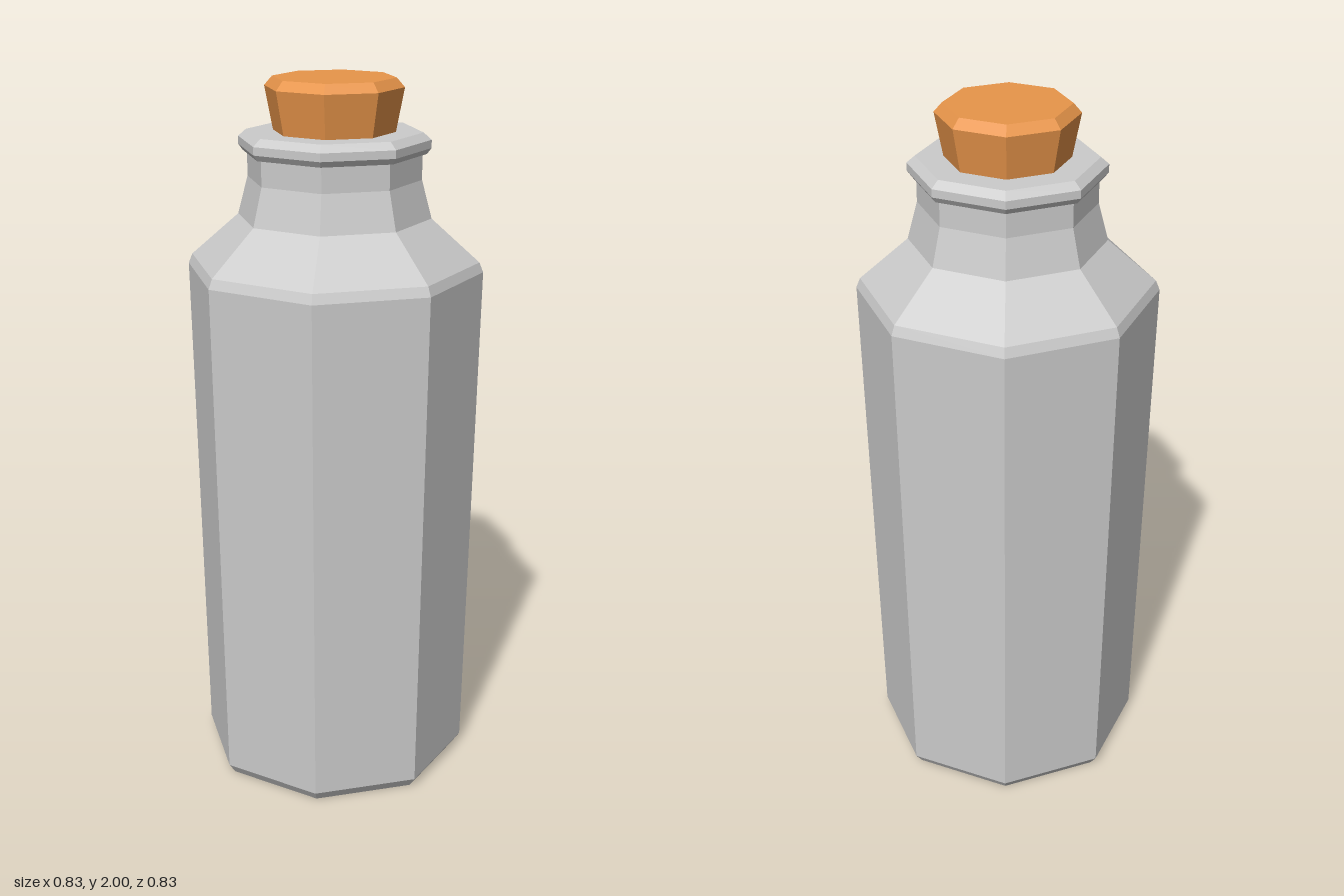
import * as THREE from 'three';

const SIDES = 8;

// Faceted solid of revolution from [radius, height] pairs, bottom to top
function turned(name, profile, color) {
  const points = profile.map(([r, y]) => new THREE.Vector2(r, y));
  const geometry = new THREE.LatheGeometry(points, SIDES);
  const material = new THREE.MeshStandardMaterial({ color, flatShading: true });
  const mesh = new THREE.Mesh(geometry, material);
  mesh.name = name;
  return mesh;
}

export function createModel() {
  const group = new THREE.Group();
  group.name = 'corkedBottle';

  // Bottle: chamfered base, slightly flared body, sloped shoulder, neck and lip
  group.add(turned('bottle', [
    [0, 0], [0.367, 0], [0.388, 0.03],
    [0.413, 1.48], [0.402, 1.507],
    [0.268, 1.625], [0.24, 1.73], [0.24, 1.8],
    [0.252, 1.8], [0.264, 1.816], [0.264, 1.838], [0.242, 1.857],
    [0, 1.857],
  ], 0xcccccc));

  // Stopper: widens upward, with a bevelled top
  group.add(turned('cork', [
    [0, 1.84], [0.164, 1.84], [0.19, 1.975], [0.168, 2], [0, 2],
  ], 0xe8954a));

  return group;
}
